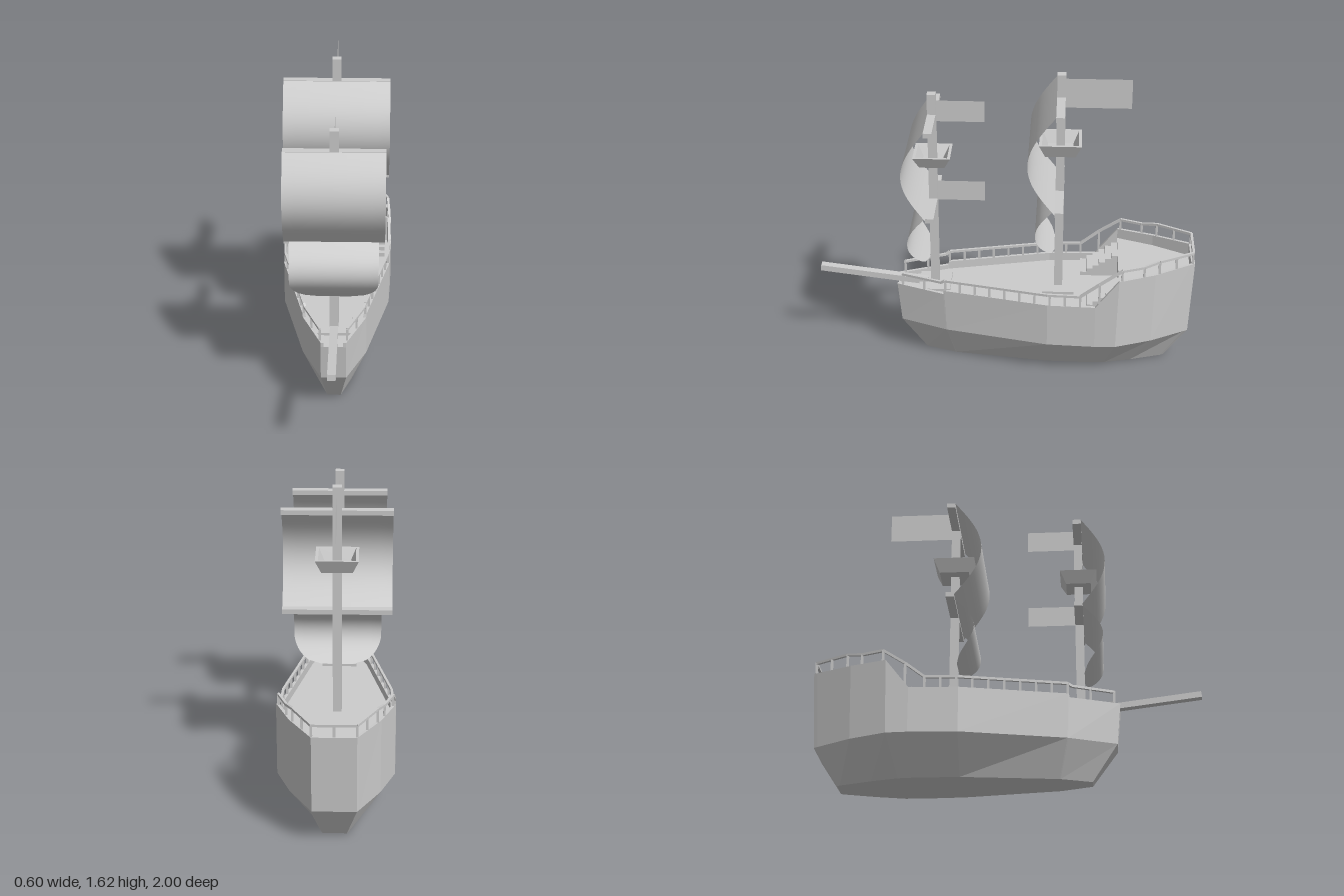
import * as THREE from 'three';

const flat = new THREE.MeshStandardMaterial({ color: 0xcccccc, flatShading: true });
const thin = new THREE.MeshStandardMaterial({ color: 0xcccccc, side: THREE.DoubleSide });

// Hull stations, bow to stern: z and half width at the rim, rim height, deck height,
// then z and half width at the knuckle and at the keel.
const LOW = 0.385, HIGH = 0.53, KNUCKLE = 0.19, RIM = 0.016;
const stations = [
  [0.58, 0.065, 0.41, LOW, 0.56, 0.065, 0.43, 0.035],
  [0.325, 0.165, 0.41, LOW, 0.315, 0.165, 0.27, 0.09],
  [0.32, 0.167, 0.43, LOW, 0.31, 0.167, 0.265, 0.091],
  [-0.23, 0.29, 0.43, LOW, -0.23, 0.29, -0.23, 0.155],
  [-0.48, 0.302, 0.43, LOW, -0.48, 0.302, -0.46, 0.16],
  [-0.6, 0.298, 0.585, LOW, -0.59, 0.298, -0.54, 0.155],
  [-0.6, 0.298, 0.585, HIGH, -0.59, 0.298, -0.54, 0.155],
  [-0.79, 0.225, 0.59, HIGH, -0.78, 0.225, -0.68, 0.12],
  [-0.98, 0.122, 0.6, HIGH, -0.96, 0.122, -0.845, 0.068],
  [-0.98, 0.122, 0.6, 0.6, -0.96, 0.122, -0.845, 0.068],
  [-1, 0.11, 0.6, 0.6, -0.98, 0.11, -0.86, 0.06],
];

// Half width of the rim centreline at a given z
function rimX(z) {
  for (let i = 0; i < stations.length - 1; i++) {
    const a = stations[i], b = stations[i + 1];
    if (z <= a[0] && z >= b[0] && a[0] > b[0]) {
      return THREE.MathUtils.mapLinear(z, a[0], b[0], a[1], b[1]) - RIM / 2;
    }
  }
  return stations.at(-1)[1] - RIM / 2;
}

function add(parent, name, geometry, material, x = 0, y = 0, z = 0) {
  const mesh = new THREE.Mesh(geometry, material);
  mesh.name = name;
  mesh.position.set(x, y, z);
  parent.add(mesh);
  return mesh;
}

function box(parent, name, w, h, d, x, y, z) {
  return add(parent, name, new THREE.BoxGeometry(w, h, d), flat, x, y, z);
}

// Square bar running between two points
function beam(parent, name, from, to, w, h = w) {
  const a = new THREE.Vector3(...from), b = new THREE.Vector3(...to);
  const mid = a.clone().add(b).multiplyScalar(0.5);
  const bar = box(parent, name, w, h, a.distanceTo(b), mid.x, mid.y, mid.z);
  bar.lookAt(b);
  return bar;
}

// Shell, rim, inner bulwark and decks swept through the stations
function hullGeometry() {
  const pos = [];
  const quad = (a, b, c, d) => pos.push(...a, ...b, ...c, ...a, ...c, ...d);
  const flip = ([x, y, z]) => [-x, y, z];
  const both = (a, b, c, d) => {
    quad(a, b, c, d);
    quad(flip(d), flip(c), flip(b), flip(a));
  };
  const sections = stations.map(([z, w, top, deck, zk, wk, zb, wb]) => [
    [0, 0, zb], [wb, 0, zb], [wk, KNUCKLE, zk], [w, top, z],
    [w - RIM, top, z], [w - RIM, deck, z], [0, deck, z],
  ]);
  for (let i = 0; i < sections.length - 1; i++) {
    const a = sections[i], b = sections[i + 1];
    for (let k = 0; k < a.length - 1; k++) both(a[k], b[k], b[k + 1], a[k + 1]);
  }
  // Bow and stern faces
  const bow = sections[0], stern = sections.at(-1);
  const lip = [bow[3][0], LOW, bow[3][2]];
  quad(flip(bow[1]), bow[1], bow[2], flip(bow[2]));
  quad(flip(bow[2]), bow[2], lip, flip(lip));
  both(bow[5], lip, bow[3], bow[4]);
  quad(stern[1], flip(stern[1]), flip(stern[2]), stern[2]);
  quad(stern[2], flip(stern[2]), flip(stern[3]), stern[3]);
  const g = new THREE.BufferGeometry();
  g.setAttribute('position', new THREE.Float32BufferAttribute(pos, 3));
  g.computeVertexNormals();
  return g;
}

// Cloth billowing forward; a rounded sail narrows towards its foot
function sail(parent, name, half, top, bottom, z, bulge, rounded) {
  const g = new THREE.PlaneGeometry(2, 1, 8, 20);
  const p = g.attributes.position;
  for (let i = 0; i < p.count; i++) {
    const t = 0.5 - p.getY(i);
    const u = rounded ? Math.max(0, (t - 0.58) / 0.42) : 0;
    const w = half * (0.36 + 0.64 * Math.sqrt(Math.max(0, 1 - u * u)));
    p.setXYZ(i, p.getX(i) * w, THREE.MathUtils.lerp(top, bottom, t), z + bulge * Math.sin(Math.PI * t));
  }
  g.computeVertexNormals();
  add(parent, name, g, thin);
}

// Open square lookout tray around a mast
function lookout(parent, y, z, bottom, top, h) {
  const profile = [[0, 0], [bottom, 0], [top, h], [top - 0.015, h], [bottom - 0.012, 0.012], [0, 0.012]]
    .map(([r, v]) => new THREE.Vector2(r * Math.SQRT2, v));
  const g = new THREE.LatheGeometry(profile, 4).rotateY(Math.PI / 4);
  add(parent, 'lookout', g, flat, 0, y, z);
}

function flag(parent, z0, z1, y0, y1) {
  const g = new THREE.PlaneGeometry(Math.abs(z1 - z0), y1 - y0).rotateY(Math.PI / 2);
  add(parent, 'flag', g, thin, 0, (y0 + y1) / 2, (z0 + z1) / 2);
}

function mast(parent, name, o) {
  const m = new THREE.Group();
  m.name = name;
  parent.add(m);
  box(m, 'mastPole', 0.046, o.top - LOW, 0.044, 0, (o.top + LOW) / 2, o.z);
  box(m, 'mastPlate', 0.19, 0.014, 0.17, 0, LOW + 0.007, o.z);
  for (const y of o.yards) box(m, 'yard', o.half * 2, 0.025, 0.044, 0, y, o.z);
  const front = o.z + 0.022;
  sail(m, 'upperSail', o.half, o.yards[0] + 0.01, o.yards[1], front, o.bulge, false);
  sail(m, 'lowerSail', 0.225, o.yards[1], o.foot, front, 0.1, true);
  lookout(m, ...o.lookout);
  for (const f of o.flags) flag(m, ...f);
}

// Handrail on posts along one side
function railing(parent, side, path, posts) {
  const at = (z, y) => [side * rimX(z), y, z];
  for (let i = 0; i < path.length - 1; i++) {
    beam(parent, 'handrail', at(...path[i]), at(...path[i + 1]), 0.013);
  }
  for (const [z, y0, y1] of posts) box(parent, 'railPost', 0.012, y1 - y0, 0.012, side * rimX(z), (y0 + y1) / 2, z);
}

export function createModel() {
  const ship = new THREE.Group();
  ship.name = 'sailingShip';
  add(ship, 'hull', hullGeometry(), flat);
  beam(ship, 'bowsprit', [0, 0.398, 0.42], [0, 0.47, 0.998], 0.042, 0.032);

  mast(ship, 'foreMast', {
    z: 0.38, top: 1.495, half: 0.255, yards: [1.373, 0.893], foot: 0.58, bulge: 0.12,
    lookout: [1.105, 0.38, 0.065, 0.097, 0.065],
    flags: [[0.36, 0.11, 1.34, 1.455], [0.36, 0.11, 0.89, 1.0]],
  });
  mast(ship, 'mainMast', {
    z: -0.282, top: 1.615, half: 0.28, yards: [1.483, 0.955], foot: 0.65, bulge: 0.14,
    lookout: [1.188, -0.282, 0.078, 0.109, 0.072],
    flags: [[-0.3, -0.64, 1.43, 1.588]],
  });

  // Stairs up to the raised stern deck
  const steps = 6, run = 0.2 / steps, rise = (HIGH - LOW) / (steps + 1);
  for (const side of [-1, 1]) {
    for (let i = 0; i < steps; i++) {
      const h = rise * (i + 1);
      box(ship, 'stairStep', 0.15, h, run, side * 0.19, LOW + h / 2, -0.4 - run * (i + 0.5));
    }
  }

  // Rails along the bow, waist and stern
  const waist = [];
  for (let i = 0; i < 10; i++) waist.push([0.315 - i * 0.0795, 0.43, 0.49]);
  for (const side of [-1, 1]) {
    const rails = new THREE.Group();
    rails.name = side > 0 ? 'leftRailing' : 'rightRailing';
    ship.add(rails);
    railing(rails, side, [[0.55, 0.472], [0.335, 0.475], [0.315, 0.488], [-0.23, 0.488], [-0.4, 0.488],
      [-0.5, 0.565], [-0.615, 0.643], [-0.73, 0.643], [-0.81, 0.66], [-0.99, 0.66]],
    [[0.55, 0.41, 0.475], [0.43, 0.41, 0.475], ...waist, [-0.5, 0.45, 0.565], [-0.615, 0.585, 0.645],
      [-0.73, 0.585, 0.645], [-0.81, 0.59, 0.66], [-0.9, 0.595, 0.66], [-0.988, 0.6, 0.66]]);
  }
  const sx = rimX(-0.99);
  beam(ship, 'sternRail', [-sx, 0.66, -0.99], [sx, 0.66, -0.99], 0.013);
  box(ship, 'sternPost', 0.012, 0.06, 0.012, 0, 0.63, -0.99);
  return ship;
}
